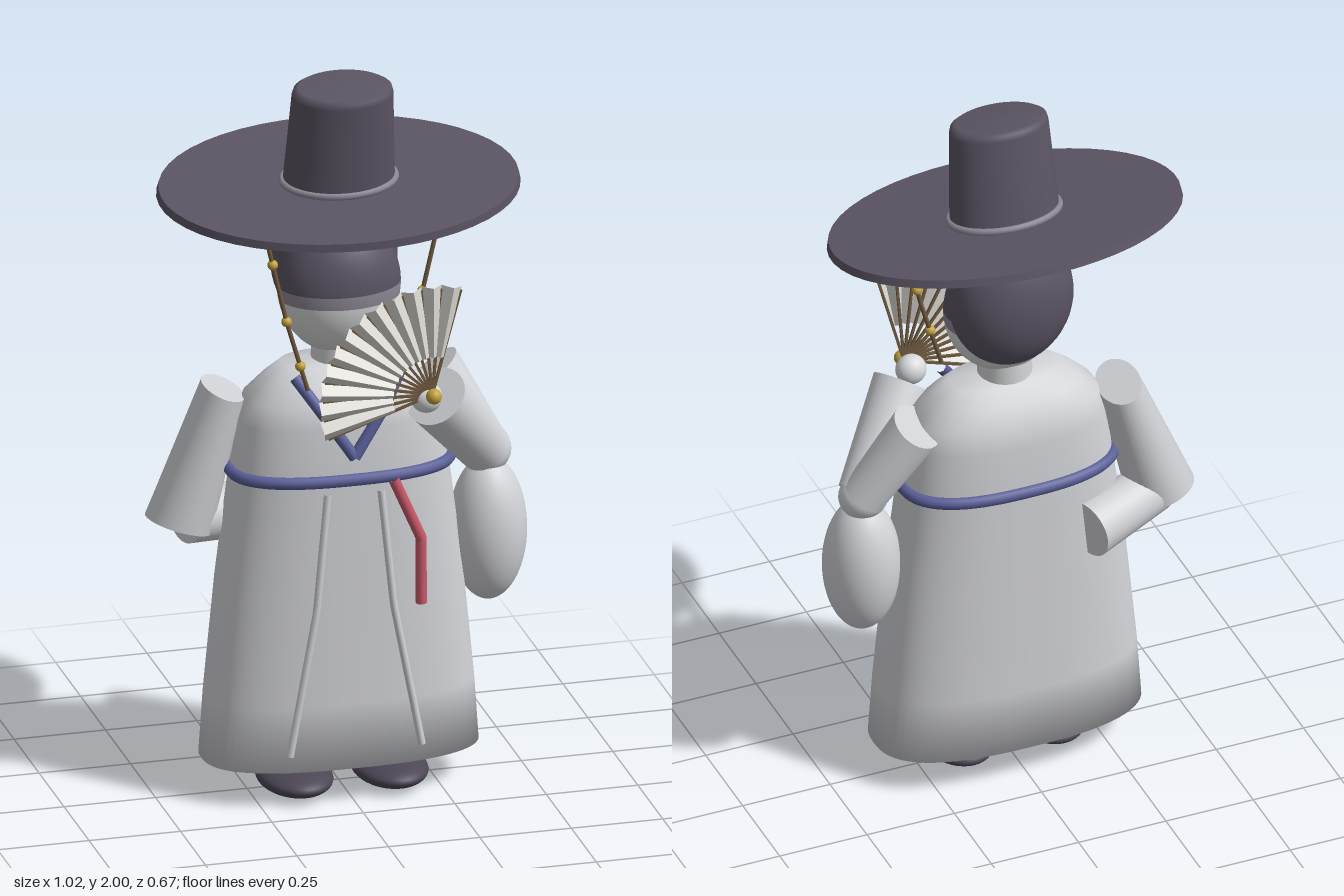
import * as THREE from 'three';

const material = (name, color, extra = {}) => {
  const m = new THREE.MeshStandardMaterial({ color, ...extra });
  m.name = name;
  return m;
};
const V = (p) => new THREE.Vector3(...p);

// Robe cross-sections: height, half width, half depth
const ROBE = [
  [0.1, 0.375, 0.18], [0.28, 0.363, 0.174], [0.6, 0.332, 0.165], [0.91, 0.293, 0.157],
  [1.05, 0.275, 0.152], [1.11, 0.255, 0.14], [1.16, 0.205, 0.108], [1.2, 0.155, 0.075],
];
const rounded = (v) => Math.sign(v) * Math.pow(Math.abs(v), 0.78);
const sectionPoint = (w, d, a, y) => [w * rounded(Math.cos(a)), y, d * rounded(Math.sin(a))];

function robeGeometry(n = 64) {
  const pos = [], idx = [];
  for (const [y, w, d] of ROBE)
    for (let s = 0; s < n; s++) pos.push(...sectionPoint(w, d, (s / n) * Math.PI * 2, y));
  const bottom = ROBE.length * n, top = bottom + 1, last = (ROBE.length - 1) * n;
  pos.push(0, 0.1, 0, 0, 1.21, 0);
  for (let s = 0; s < n; s++) {
    const t = (s + 1) % n;
    for (let r = 0; r < last; r += n)
      idx.push(r + s, r + n + s, r + t, r + t, r + n + s, r + n + t);
    idx.push(bottom, s, t, top, last + t, last + s);
  }
  const g = new THREE.BufferGeometry();
  g.setAttribute('position', new THREE.Float32BufferAttribute(pos, 3));
  g.setIndex(idx);
  g.computeVertexNormals();
  return g;
}

export function createModel() {
  const model = new THREE.Group();
  model.name = 'robedFigure';

  const robe = material('robe', 0xd2d3d7);
  const skin = material('skin', 0xd8d9da);
  const dark = material('hat', 0x5b5463);
  const shoe = material('shoe', 0x4c4655);
  const trim = material('hatTrim', 0x8d8794);
  const blue = material('blueTrim', 0x5a6099);
  const red = material('redTassel', 0xc85868);
  const gold = material('gold', 0xc2a13c);
  const wood = material('wood', 0x705a40);
  const paper = material('fanPaper', 0xdedcd6, { flatShading: true, side: THREE.DoubleSide });

  const add = (name, geometry, mat, parent = model) => {
    const mesh = new THREE.Mesh(geometry, mat);
    mesh.name = name;
    parent.add(mesh);
    return mesh;
  };
  const ball = (name, mat, p, r, parent) => {
    const mesh = add(name, new THREE.SphereGeometry(1, 40, 28), mat, parent);
    mesh.position.set(...p);
    mesh.scale.set(...r);
    return mesh;
  };
  // Straight-segmented tube through a few points
  const cord = (name, mat, points, radius, parent, closed = false) => {
    const path = new THREE.CurvePath();
    const pts = points.map(V);
    for (let i = 1; i < pts.length; i++) path.add(new THREE.LineCurve3(pts[i - 1], pts[i]));
    return add(name, new THREE.TubeGeometry(path, 24, radius, 10, closed), mat, parent);
  };
  // Tapered limb from a to b, with [x, z] radii at each end
  const limb = (name, mat, a, b, ra, rb) => {
    const dir = V(b).sub(V(a)), length = dir.length();
    const g = new THREE.CylinderGeometry(1, 1, length, 32);
    const p = g.attributes.position;
    for (let i = 0; i < p.count; i++) {
      const t = p.getY(i) / length + 0.5;
      p.setX(i, p.getX(i) * THREE.MathUtils.lerp(ra[0], rb[0], t));
      p.setZ(i, p.getZ(i) * THREE.MathUtils.lerp(ra[1], rb[1], t));
    }
    const mesh = add(name, g, mat);
    mesh.position.copy(V(a).add(V(b)).multiplyScalar(0.5));
    mesh.quaternion.setFromUnitVectors(new THREE.Vector3(0, 1, 0), dir.normalize());
    return mesh;
  };

  // Robe, sash and collar
  add('robe', robeGeometry(), robe);
  const sashPoints = Array.from({ length: 64 }, (_, i) =>
    V(sectionPoint(0.296, 0.158, (i / 64) * Math.PI * 2, 0.91)));
  add('sash', new THREE.TubeGeometry(new THREE.CatmullRomCurve3(sashPoints, true), 128, 0.017, 10, true), blue);
  for (const s of [-1, 1]) {
    cord('collar', blue, [[s * 0.145, 1.19, 0.095], [s * 0.09, 1.11, 0.145], [0, 0.975, 0.162]], 0.016);
    cord('skirtRibbon', robe, [[s * 0.073, 0.875, 0.16], [s * 0.105, 0.55, 0.168], [s * 0.18, 0.15, 0.176]], 0.01);
    ball('shoe', shoe, [s * 0.13, 0.039, 0.033], [0.1, 0.039, 0.143]);
  }
  cord('tassel', red, [[0.105, 0.905, 0.168], [0.178, 0.735, 0.174], [0.178, 0.55, 0.176]], 0.015);

  // Arm bent behind the back
  limb('rightUpperSleeve', robe, [-0.3, 1.118, -0.06], [-0.42, 0.745, -0.065], [0.058, 0.1], [0.093, 0.08]);
  limb('rightForearm', robe, [-0.4, 0.76, -0.065], [-0.17, 0.74, -0.155], [0.07, 0.07], [0.08, 0.08]);

  // Raised arm with a hanging sleeve
  limb('leftUpperSleeve', robe, [0.27, 1.12, -0.045], [0.41, 0.9, 0], [0.07, 0.1], [0.06, 0.05]);
  limb('leftForearm', robe, [0.4, 0.9, 0.015], [0.225, 1.12, 0.15], [0.07, 0.06], [0.085, 0.085]);
  ball('leftElbow', robe, [0.4, 0.9, 0.01], [0.068, 0.065, 0.06]);
  ball('hangingSleeve', robe, [0.404, 0.68, 0.015], [0.104, 0.2, 0.105]);
  ball('leftHand', skin, [0.19, 1.135, 0.185], [0.042, 0.042, 0.038]);

  // Neck and head in three zones, with hair behind
  limb('neck', skin, [0, 1.18, 0], [0, 1.3, 0], [0.075, 0.07], [0.07, 0.068]);
  const zones = [['foreheadCap', dark, 0, 1.545], ['headband', trim, 1.545, 1.73], ['face', skin, 1.73, Math.PI]];
  for (const [name, mat, from, to] of zones) {
    const zone = add(name, new THREE.SphereGeometry(1, 40, 16, 0, Math.PI * 2, from, to - from), mat);
    zone.position.set(0, 1.41, 0.005);
    zone.scale.set(0.166, 0.19, 0.125);
  }
  ball('hair', dark, [0, 1.467, -0.045], [0.171, 0.2, 0.123]);

  // Wide oval hat, tipped forward
  const hat = new THREE.Group();
  hat.name = 'hat';
  hat.position.set(0, 1.69, 0);
  hat.rotation.x = 0.148;
  hat.scale.z = 0.695;
  model.add(hat);
  add('brim', new THREE.CylinderGeometry(0.485, 0.49, 0.022, 48), dark, hat);
  const crownProfile = [[0.152, 0], [0.137, 0.275], [0.133, 0.29], [0.12, 0.298], [0, 0.3]];
  add('crown', new THREE.LatheGeometry(crownProfile.map((p) => new THREE.Vector2(...p)), 48), dark, hat);
  const ring = add('hatRing', new THREE.TorusGeometry(0.152, 0.01, 10, 48), trim, hat);
  ring.rotation.x = Math.PI / 2;
  ring.position.y = 0.02;

  // Beaded hat strings
  for (const s of [-1, 1]) {
    const at = (y) => [s * (y > 1.37 ? 0.18 + (y - 1.37) * 0.23 : 0.125 + (y - 1.18) * 0.29), y, 0.14];
    cord('hatString', wood, [at(1.6), at(1.37), at(1.17)], 0.006);
    const beads = s < 0 ? [1.535, 1.37, 1.24] : [1.6, 1.42, 1.28];
    for (const y of beads) ball('bead', gold, at(y), [0.014, 0.014, 0.014]);
  }

  // Pleated folding fan
  const fan = new THREE.Group();
  fan.name = 'fan';
  fan.position.set(0.2, 1.15, 0.22);
  model.add(fan);
  const folds = 24, inner = 0.11, outer = 0.31;
  const angle = (i) => THREE.MathUtils.degToRad(75 + (124 * i) / folds);
  const leaf = new THREE.PlaneGeometry(1, 1, folds, 1);
  const p = leaf.attributes.position;
  for (let i = 0; i < p.count; i++) {
    const k = i % (folds + 1), r = i > folds ? inner : outer;
    p.setXYZ(i, r * Math.cos(angle(k)), r * Math.sin(angle(k)), (k % 2 ? 0.014 : -0.012) * (r / outer));
  }
  add('fanLeaf', leaf, paper, fan);
  for (let i = 0; i <= folds; i += 2) {
    const rib = add('fanRib', new THREE.BoxGeometry(0.3, 0.007, 0.006), wood, fan);
    rib.position.set(0.15 * Math.cos(angle(i)), 0.15 * Math.sin(angle(i)), -0.012);
    rib.rotation.z = angle(i);
  }
  ball('fanPivot', gold, [0, 0, 0.003], [0.021, 0.021, 0.021], fan);

  return model;
}
